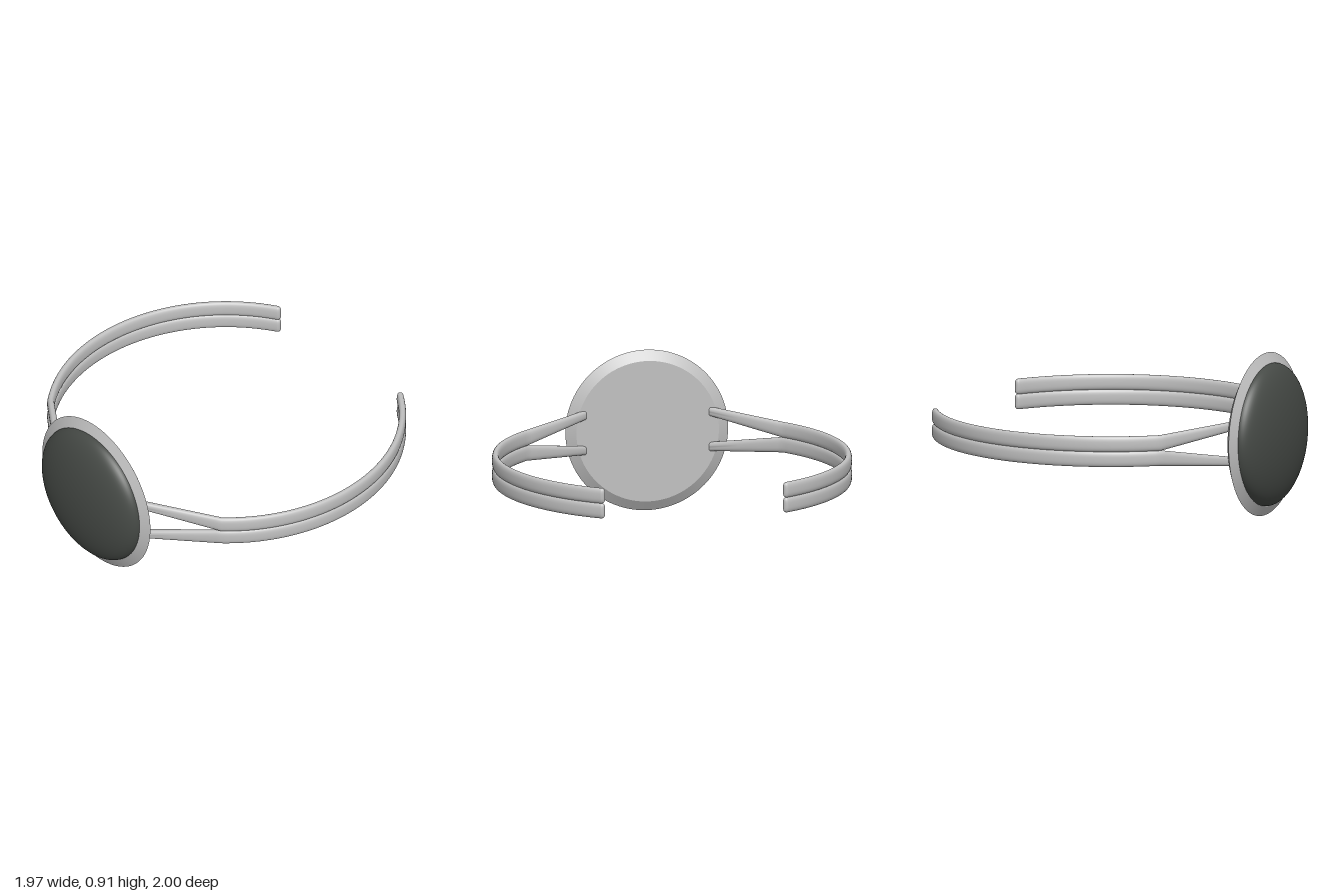
import * as THREE from 'three';
import { toCreasedNormals } from 'three/addons/utils/BufferGeometryUtils.js';

const MID_Y = 0.46;      // height of the bracelet's centre plane
const RADIUS = 0.98;     // centre line of the cuff
const CENTRE_X = 0.13;

// Lofts a rounded oblong section along stations { p, h, t } (centre, half height, half thickness)
function loft(stations, sides = 28) {
  const pos = [], index = [], n = stations.length;
  const up = new THREE.Vector3(0, 1, 0);
  const round = v => Math.sign(v) * Math.pow(Math.abs(v), 2 / 2.6);
  stations.forEach((s, i) => {
    const a = stations[Math.max(i - 1, 0)].p, b = stations[Math.min(i + 1, n - 1)].p;
    const tangent = b.clone().sub(a).setY(0).normalize();
    const side = new THREE.Vector3().crossVectors(up, tangent);
    for (let j = 0; j < sides; j++) {
      const u = j / sides * Math.PI * 2;
      const v = s.p.clone().addScaledVector(side, s.t * round(Math.cos(u)))
        .addScaledVector(up, s.h * round(Math.sin(u)));
      pos.push(v.x, v.y, v.z);
    }
  });
  for (let i = 0; i < n - 1; i++) {
    for (let j = 0; j < sides; j++) {
      const k = (j + 1) % sides, a = i * sides, b = a + sides;
      index.push(a + j, a + k, b + j, a + k, b + k, b + j);
    }
  }
  // end caps
  for (let j = 1; j < sides - 1; j++) {
    const e = (n - 1) * sides;
    index.push(0, j + 1, j, e, e + j, e + j + 1);
  }
  const g = new THREE.BufferGeometry();
  g.setAttribute('position', new THREE.Float32BufferAttribute(pos, 3));
  g.setIndex(index);
  g.computeVertexNormals();
  return g;
}

// One wire: rounded tip, circular arc, then a straight tapering prong to the setting
function wireGeometry(sideZ, sideY) {
  const H = 0.0435, T = 0.02, stations = [];
  const start = THREE.MathUtils.degToRad(32), end = THREE.MathUtils.degToRad(132.5);
  const y = MID_Y + sideY * 0.0425;
  const onArc = a => new THREE.Vector3(
    CENTRE_X + RADIUS * Math.cos(a), y, sideZ * RADIUS * Math.sin(a));

  for (let i = 0; i < 6; i++) {
    const q = (0.04 + 0.96 * i / 6) * Math.PI / 2;
    stations.push({
      p: onArc(start - T * Math.cos(q) / RADIUS),
      h: H - T * (1 - Math.sin(q)), t: T * Math.sin(q),
    });
  }
  for (let i = 0; i <= 56; i++) {
    stations.push({ p: onArc(start + (end - start) * i / 56), h: H, t: T });
  }
  const bend = onArc(end);
  const foot = new THREE.Vector3(-0.8, MID_Y + sideY * 0.1, sideZ * 0.355);
  for (const f of [0.06, 0.3, 0.6, 1]) {
    stations.push({ p: bend.clone().lerp(foot, f), h: H + (0.025 - H) * f, t: T });
  }
  return loft(stations);
}

// Turned part whose axis runs along -x; points are [radius, distance along -x]
function turned(points) {
  const g = new THREE.LatheGeometry(points.map(p => new THREE.Vector2(...p)), 96);
  g.rotateZ(Math.PI / 2);
  g.translate(0, MID_Y, 0);
  return g;
}

export function createModel() {
  const silver = new THREE.MeshStandardMaterial({ color: 0xc0c0c0 });
  silver.name = 'silver';
  const stone = new THREE.MeshStandardMaterial({ color: 0x464a46 });
  stone.name = 'dark stone';

  const model = new THREE.Group();
  model.name = 'cuffBracelet';
  const add = (name, geometry, material) => {
    const mesh = new THREE.Mesh(geometry, material);
    mesh.name = name;
    model.add(mesh);
  };

  // Paired wires on each side of the cuff
  for (const z of [1, -1]) {
    for (const y of [1, -1]) {
      add(`${z > 0 ? 'front' : 'back'}${y > 0 ? 'Upper' : 'Lower'}Wire`, wireGeometry(z, y), silver);
    }
  }

  // Bevelled setting plate
  add('setting', toCreasedNormals(turned([
    [0, 0.79], [0.4, 0.79], [0.457, 0.825], [0.402, 0.855], [0, 0.855],
  ]), 0.45), silver);

  // Domed stone
  const dome = [];
  for (let i = 0; i <= 24; i++) {
    const a = i / 24 * Math.PI / 2;
    dome.push([Math.max(0.4 * Math.cos(a), 0), 0.854 + 0.131 * Math.sin(a)]);
  }
  add('stone', turned(dome), stone);

  return model;
}
